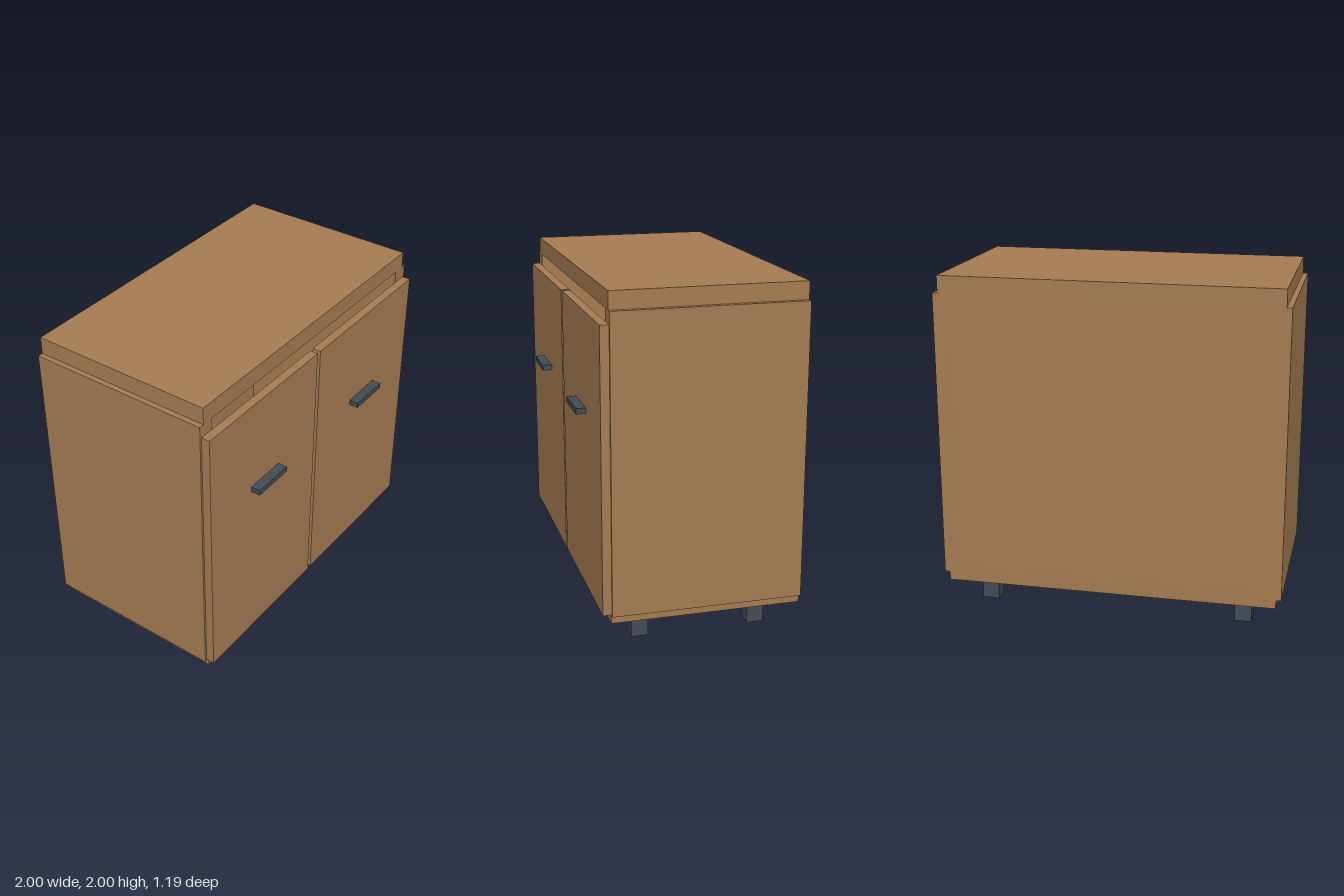
import * as THREE from 'three';

export function createModel() {
  const model = new THREE.Group();
  model.name = 'cabinet';
  const wood = new THREE.MeshStandardMaterial({ color: 0xa67c52, flatShading: true });
  const metal = new THREE.MeshStandardMaterial({ color: 0x434c55, flatShading: true });

  // Box given by its extents along each axis
  function box(name, material, [x0, x1], [y0, y1], [z0, z1]) {
    const mesh = new THREE.Mesh(new THREE.BoxGeometry(x1 - x0, y1 - y0, z1 - z0), material);
    mesh.position.set((x0 + x1) / 2, (y0 + y1) / 2, (z0 + z1) / 2);
    mesh.name = name;
    model.add(mesh);
  }

  const back = -0.595, front = 0.49, doorFront = 0.54;
  const depth = [back, front];

  // Carcass: top and bottom are slightly narrower than the sides
  box('topPanel', wood, [-0.97, 0.97], [1.9, 2], depth);
  box('bottomPanel', wood, [-0.97, 0.97], [0.17, 0.27], depth);
  box('backPanel', wood, [-0.9, 0.9], [0.27, 1.9], [back, back + 0.06]);

  // Mirrored parts
  for (const [side, s] of [['left', 1], ['right', -1]]) {
    const span = (a, b) => (s > 0 ? [a, b] : [-b, -a]);
    box(side + 'SidePanel', wood, span(0.9, 1), [0.22, 1.9], depth);
    box(side + 'Door', wood, span(0.013, 0.988), [0.23, 1.83], [front, doorFront]);
    box(side + 'Handle', metal, span(0.37, 0.627), [1.265, 1.298], [doorFront, 0.595]);
    box(side + 'FrontLeg', metal, span(0.72, 0.82), [0, 0.17], [0.243, 0.341]);
    box(side + 'BackLeg', metal, span(0.72, 0.82), [0, 0.17], [-0.441, -0.343]);
  }
  return model;
}
